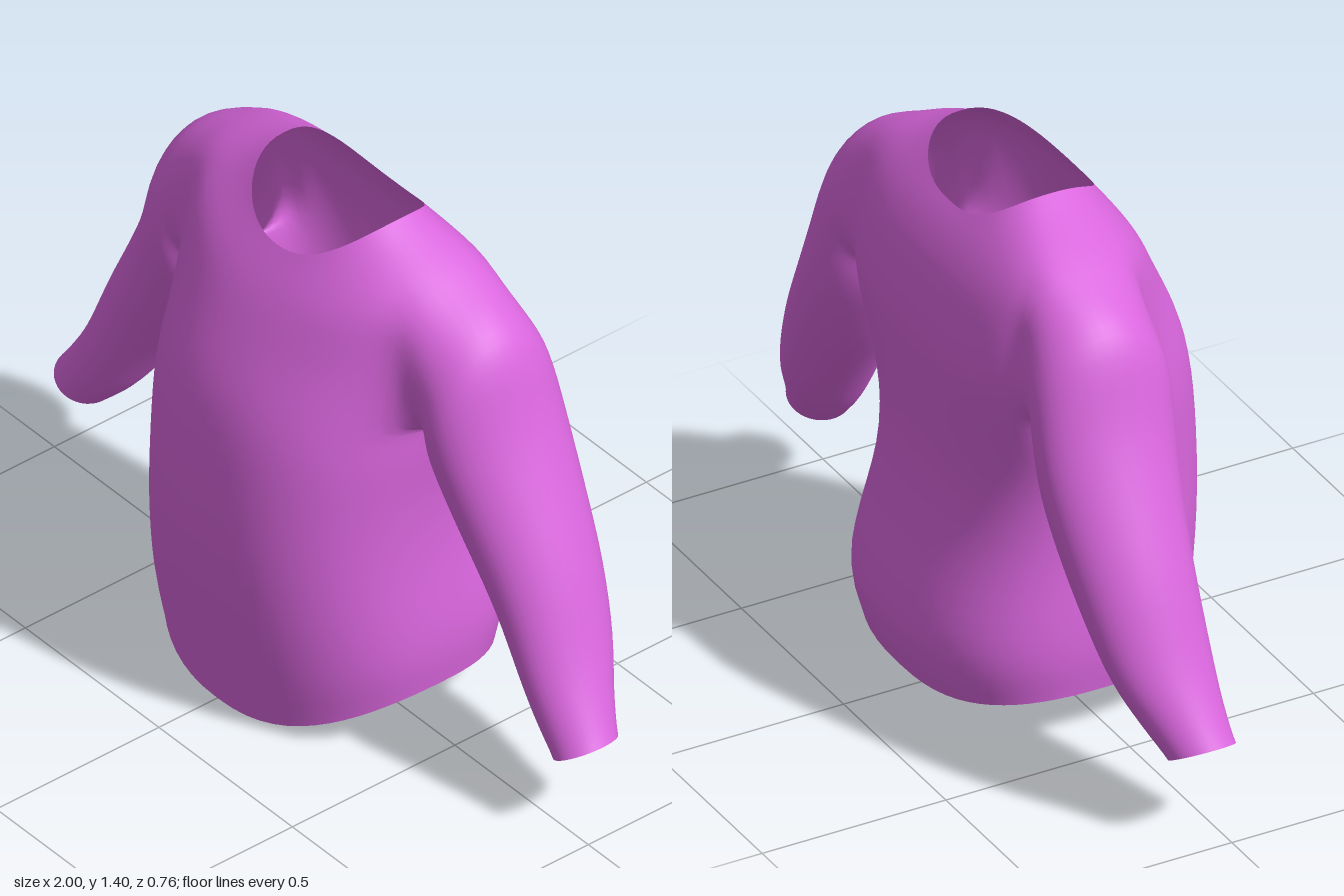
import * as THREE from 'three';

const COLS = 64, SUB = 3;             // body grid
const C0 = 11, C1 = 22;               // armhole columns
const R0 = 6 * SUB, R1 = 9 * SUB;     // armhole rows
const RING = 2 * (C1 - C0 + R1 - R0); // points around a sleeve
const SLEEVE_SUB = 4;

// Body rings, hem to neckline:
// half width, centre z, front y, front z, front power, side y, back y, back z, back power
const BODY = [
  [0.42, -0.03, 0.00, 0.32, 2.3, 0.13, 0.07, -0.35, 2.5],
  [0.435, -0.02, 0.12, 0.345, 2.3, 0.22, 0.19, -0.39, 2.5],
  [0.425, -0.01, 0.28, 0.37, 2.3, 0.35, 0.32, -0.365, 2.5],
  [0.405, 0.0, 0.50, 0.39, 2.3, 0.50, 0.50, -0.312, 2.5],
  [0.40, 0.0, 0.70, 0.383, 2.3, 0.68, 0.68, -0.30, 2.6],
  [0.415, -0.04, 0.85, 0.367, 2.3, 0.81, 0.85, -0.31, 3.0],
  [0.42, -0.08, 0.96, 0.337, 2.3, 0.92, 0.98, -0.317, 3.6],
  [0.43, -0.08, 1.06, 0.29, 2.2, 1.06, 1.07, -0.307, 4.0],
  [0.43, -0.08, 1.14, 0.25, 2.2, 1.20, 1.16, -0.288, 3.8],
  [0.42, -0.08, 1.20, 0.215, 2.2, 1.30, 1.22, -0.262, 3.4],
  [0.32, -0.07, 1.25, 0.18, 2.2, 1.35, 1.27, -0.235, 2.9],
  [0.217, -0.05, 1.29, 0.15, 2.2, 1.398, 1.31, -0.205, 2.6],
];

// Sleeve rings, shoulder to cuff: outer x, outer y, inner x, inner y, front z, back z
const SLEEVE = [
  [0.53, 1.245, 0.43, 0.88, 0.09, -0.268],
  [0.60, 1.165, 0.445, 0.80, 0.10, -0.278],
  [0.65, 1.0, 0.495, 0.71, 0.085, -0.284],
  [0.735, 0.82, 0.56, 0.60, 0.065, -0.272],
  [0.82, 0.65, 0.645, 0.48, 0.05, -0.252],
  [0.89, 0.47, 0.73, 0.36, 0.047, -0.22],
  [0.945, 0.36, 0.80, 0.26, 0.042, -0.17],
  [1.0, 0.27, 0.87, 0.195, 0.04, -0.13],
];

// Smooth interpolation through a list of equal-length number rows
function spline(rows, t) {
  const n = rows.length - 1;
  const i = Math.min(Math.floor(t), n - 1), f = t - i;
  const at = (k) => rows[Math.max(0, Math.min(n, k))];
  const [a, b, c, d] = [at(i - 1), at(i), at(i + 1), at(i + 2)];
  return b.map((_, k) => b[k] + 0.5 * f * (c[k] - a[k]
    + f * (2 * a[k] - 5 * b[k] + 4 * c[k] - d[k]
    + f * (3 * (b[k] - c[k]) + d[k] - a[k]))));
}

// Rounded-square ring, angle 0 at the front, turning towards +x
function bodyPoint(row, angle) {
  const [hw, zc, yF, zF, nF, yS, yB, zB, nB] = row;
  const s = Math.sin(angle), c = Math.cos(angle), front = c > 0;
  const e = 2 / (front ? nF : nB);
  return [
    hw * Math.sign(s) * Math.abs(s) ** e,
    yS + ((front ? yF : yB) - yS) * c * c,
    zc + ((front ? zF : zB) - zc) * Math.abs(c) ** e,
  ];
}

function sleeveRing(sec, side) {
  const [ox, oy, ix, iy, zf, zb] = sec, ring = [];
  for (let i = 0; i < RING; i++) {
    const a = (2 * Math.PI * (i - (C1 - C0) / 2)) / RING;
    const c = Math.cos(a) / 2, s = Math.sin(a) / 2;
    ring.push(side * ((ox + ix) / 2 + (ox - ix) * c), (oy + iy) / 2 + (oy - iy) * c,
      (zf + zb) / 2 + (zf - zb) * s);
  }
  return ring;
}

export function createModel() {
  const verts = [], fixed = new Set();
  const faces = { body: [], leftSleeve: [], rightSleeve: [] };
  const quad = (list, a, b, c, d, flip) =>
    flip ? list.push(a, c, b, a, d, c) : list.push(a, b, c, a, c, d);

  // Body grid with two armholes left open
  const rows = (BODY.length - 1) * SUB;
  const id = (r, c) => r * COLS + ((c + COLS) % COLS);
  const inHole = (r, c) => r >= R0 && r < R1
    && ((c >= C0 && c < C1) || (c >= COLS - C1 && c < COLS - C0));
  for (let r = 0; r <= rows; r++) {
    const row = spline(BODY, r / SUB);
    for (let c = 0; c < COLS; c++) {
      const p = bodyPoint(row, (2 * Math.PI * c) / COLS);
      p[0] += 0.015 * Math.max(0, (r - R1) / (rows - R1));
      if (r === 0 || r === rows) fixed.add(verts.length);
      verts.push(p);
    }
  }
  for (let r = 0; r < rows; r++) {
    for (let c = 0; c < COLS; c++) {
      if (!inHole(r, c)) quad(faces.body, id(r, c), id(r, c + 1), id(r + 1, c + 1), id(r + 1, c));
    }
  }

  // Sleeves grow out of the armhole edges
  for (const side of [1, -1]) {
    const list = side > 0 ? faces.leftSleeve : faces.rightSleeve;
    const hole = [];
    for (let c = C1; c > C0; c--) hole.push(id(R1, side * c));
    for (let r = R1; r > R0; r--) hole.push(id(r, side * C0));
    for (let c = C0; c < C1; c++) hole.push(id(R0, side * c));
    for (let r = R0; r < R1; r++) hole.push(id(r, side * C1));
    const rings = [hole.flatMap((v) => verts[v]), ...SLEEVE.map((s) => sleeveRing(s, side))];
    const steps = SLEEVE.length * SLEEVE_SUB;
    let prev = hole;
    for (let k = 1; k <= steps; k++) {
      const ring = spline(rings, k / SLEEVE_SUB);
      const next = hole.map((_, i) => {
        if (k === steps) fixed.add(verts.length);
        return verts.push(ring.slice(3 * i, 3 * i + 3)) - 1;
      });
      for (let i = 0; i < RING; i++) {
        const j = (i + 1) % RING;
        quad(list, prev[i], prev[j], next[j], next[i], side < 0);
      }
      prev = next;
    }
  }

  // Relax the cloth so the armhole seams flow, keeping the open edges in place
  const all = [...faces.body, ...faces.leftSleeve, ...faces.rightSleeve];
  const near = verts.map(() => new Set());
  for (let i = 0; i < all.length; i += 3) {
    for (let k = 0; k < 3; k++) {
      near[all[i + k]].add(all[i + ((k + 1) % 3)]).add(all[i + ((k + 2) % 3)]);
    }
  }
  let pts = verts;
  for (let pass = 0; pass < 5; pass++) {
    pts = pts.map((p, v) => {
      if (fixed.has(v) || !near[v].size) return p;
      const sum = [0, 0, 0];
      near[v].forEach((n) => pts[n].forEach((x, k) => { sum[k] += x; }));
      return p.map((x, k) => 0.5 * x + (0.5 * sum[k]) / near[v].size);
    });
  }

  // Smooth normals over the whole garment, shared by its three parts
  const whole = new THREE.BufferGeometry();
  whole.setAttribute('position', new THREE.Float32BufferAttribute(pts.flat(), 3));
  whole.setIndex(all);
  whole.computeVertexNormals();

  const cloth = new THREE.MeshStandardMaterial({ color: 0xd966dd, side: THREE.DoubleSide });
  const group = new THREE.Group();
  group.name = 'shirt';
  for (const [name, index] of Object.entries(faces)) {
    // Copy only the points each part uses
    const used = [...new Set(index)], slot = new Map(used.map((v, i) => [v, i]));
    const geo = new THREE.BufferGeometry();
    for (const key of ['position', 'normal']) {
      const src = whole.getAttribute(key);
      const data = used.flatMap((v) => [src.getX(v), src.getY(v), src.getZ(v)]);
      geo.setAttribute(key, new THREE.Float32BufferAttribute(data, 3));
    }
    geo.setIndex(index.map((v) => slot.get(v)));
    const mesh = new THREE.Mesh(geo, cloth);
    mesh.name = name;
    group.add(mesh);
  }
  return group;
}
